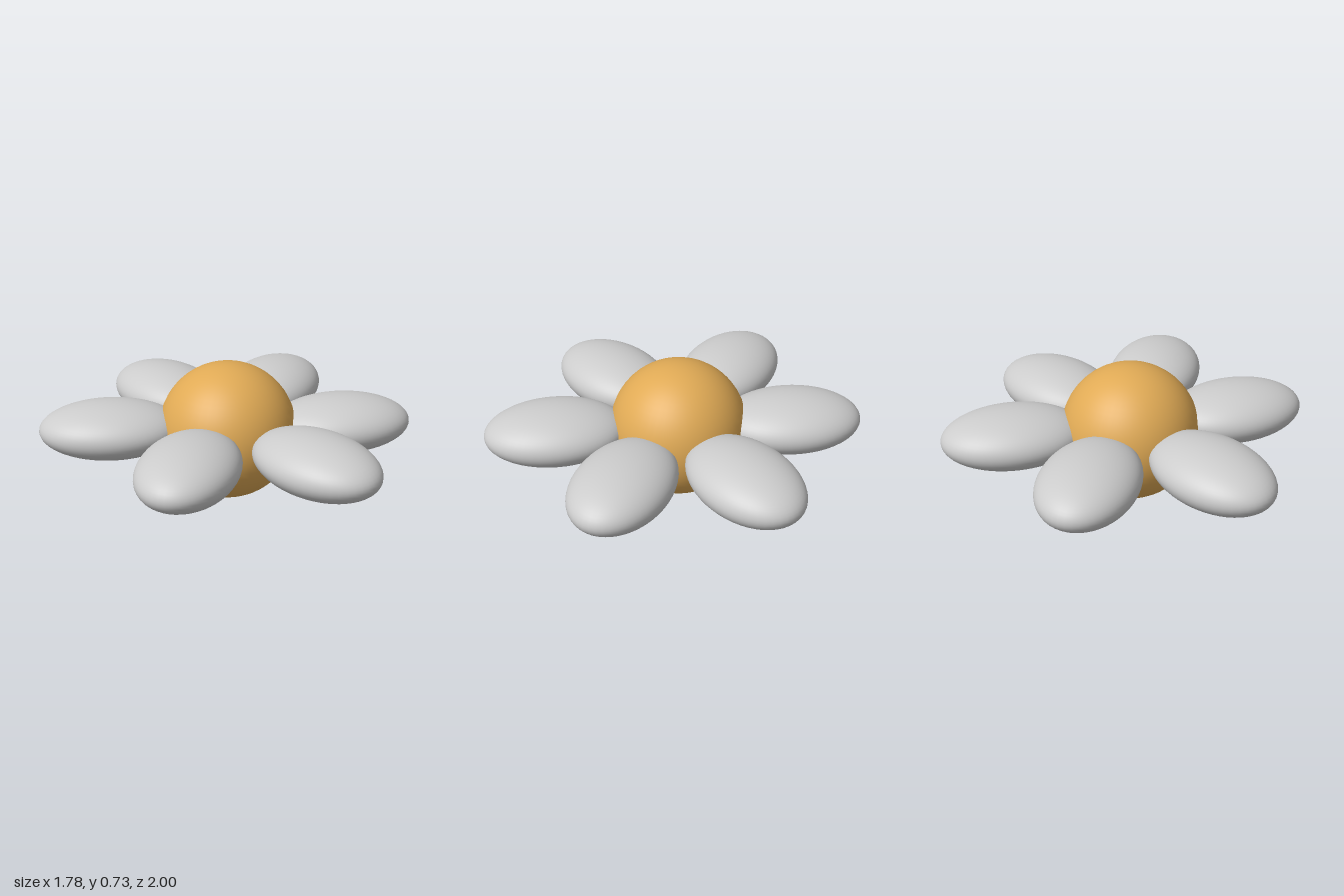
import * as THREE from 'three';

// Petals: name, centre x, y, z, and turn of the long axis from +x towards -z (degrees)
const PETALS = [
  ['frontPetal', -0.035, 0.395, 0.623, 90],
  ['backPetal', 0.034, 0.395, -0.625, 87],
  ['backLeftPetal', 0.53, 0.395, -0.278, 25.5],
  ['frontLeftPetal', 0.46, 0.38, 0.322, -31.7],
  ['backRightPetal', -0.53, 0.395, -0.398, -38],
  ['frontRightPetal', -0.546, 0.395, 0.26, 33],
];

export function createModel() {
  const flower = new THREE.Group();
  flower.name = 'flower';
  const grey = new THREE.MeshStandardMaterial({ color: 0xcccccc });
  const amber = new THREE.MeshStandardMaterial({ color: 0xe0aa55 });

  // Round heart of the flower
  const heart = new THREE.Mesh(new THREE.SphereGeometry(0.365, 48, 32), amber);
  heart.name = 'flowerCentre';
  heart.position.set(-0.036, 0.367, -0.031);
  flower.add(heart);

  // Flattened egg-shaped petals, all the same size
  const petalGeometry = new THREE.SphereGeometry(1, 48, 32).scale(0.376, 0.146, 0.253);
  for (const [name, x, y, z, turn] of PETALS) {
    const petal = new THREE.Mesh(petalGeometry, grey);
    petal.name = name;
    petal.position.set(x, y, z);
    petal.rotation.y = THREE.MathUtils.degToRad(turn);
    flower.add(petal);
  }
  return flower;
}
